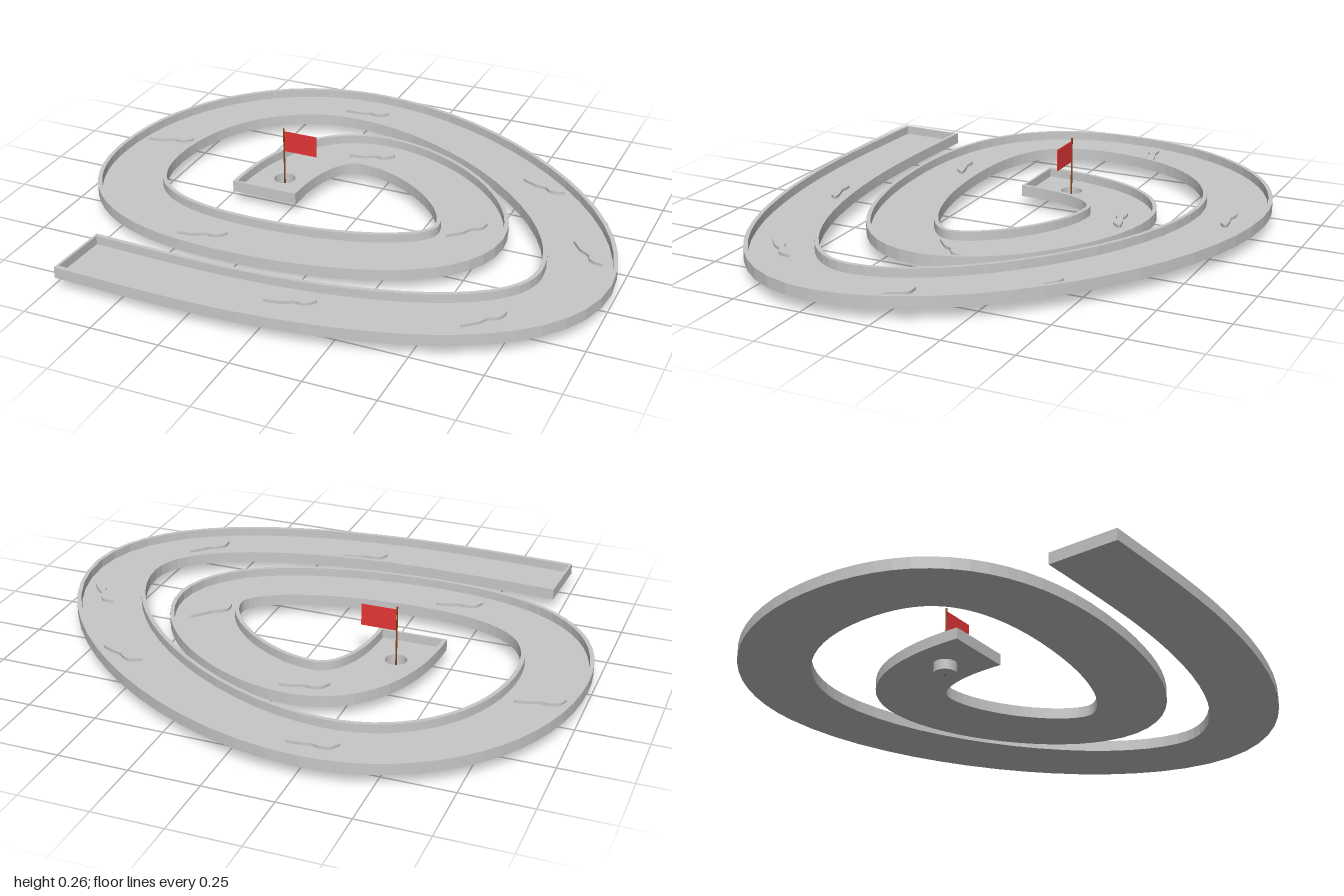
import * as THREE from 'three';

const HALF = 0.1255, RIM = 0.015, END = 0.009;
const BOTTOM = 0.044, FLOOR = 0.053, TOP = 0.085;
const CUP = { x: -0.329, z: -0.092, r: 0.041 };

// Spiral centre line, in x and z: start point, then two handles and an end per bend
const START = [-0.725, 0.715];
const BENDS = [
  [-0.57, 0.722, -0.4, 0.729, -0.27, 0.729],
  [0.3, 0.729, 0.874, 0.58, 0.874, 0.215],
  [0.874, -0.21, 0.24, -0.729, -0.265, -0.729],
  [-0.61, -0.729, -0.874, -0.44, -0.874, -0.06],
  [-0.874, 0.22, -0.71, 0.396, -0.29, 0.396],
  [0.09, 0.396, 0.452, 0.28, 0.452, 0.07],
  [0.452, -0.13, 0.155, -0.377, -0.08, -0.377],
  [-0.25, -0.377, -0.341, -0.2, -0.341, 0.058],
];

function centreLine() {
  const samples = [];
  let from = new THREE.Vector2(START[0], -START[1]);
  BENDS.forEach(([ax, az, bx, bz, cx, cz], i) => {
    const to = new THREE.Vector2(cx, -cz);
    const curve = new THREE.CubicBezierCurve(from, new THREE.Vector2(ax, -az), new THREE.Vector2(bx, -bz), to);
    const n = i === 0 ? 4 : 16;
    for (let k = i === 0 ? 0 : 1; k <= n; k++) {
      samples.push({ p: curve.getPoint(k / n), t: curve.getTangent(k / n) });
    }
    from = to;
  });
  return samples;
}

// Closed counter-clockwise outline of the lane at a given half width, pulled in at both ends
function laneOutline(samples, half, inset) {
  const left = [], right = [], last = samples.length - 1;
  samples.forEach(({ p, t }, i) => {
    const shift = i === 0 ? inset : i === last ? -inset : 0;
    const c = p.clone().addScaledVector(t, shift);
    const n = new THREE.Vector2(-t.y, t.x);
    left.unshift(c.clone().addScaledVector(n, half));
    right.push(c.clone().addScaledVector(n, -half));
  });
  return [...right, ...left];
}

// Extrude a ground-plan shape upwards
function slab(shape, height) {
  return new THREE.ExtrudeGeometry(shape, { depth: height, bevelEnabled: false, curveSegments: 24 })
    .rotateX(-Math.PI / 2);
}

export function createModel() {
  const group = new THREE.Group();
  const material = (name, color) => {
    const m = new THREE.MeshStandardMaterial({ color });
    m.name = name;
    return m;
  };
  const grey = material('concrete grey', 0xc8c8c8);
  grey.side = THREE.DoubleSide;
  const brown = material('pole brown', 0x8b4513);
  const red = material('flag red', 0xe53535);
  red.side = THREE.DoubleSide;

  const add = (name, geometry, mat, x = 0, y = 0, z = 0) => {
    const mesh = new THREE.Mesh(geometry, mat);
    mesh.name = name;
    mesh.position.set(x, y, z);
    group.add(mesh);
    return mesh;
  };

  // Lane floor with the hole cut out
  const samples = centreLine();
  const outline = laneOutline(samples, HALF, 0);
  const floor = new THREE.Shape(outline);
  floor.holes.push(new THREE.Path().absarc(CUP.x, -CUP.z, CUP.r, 0, Math.PI * 2, true));
  add('laneFloor', slab(floor, FLOOR - BOTTOM), grey, 0, BOTTOM);

  // Rim wall running all the way round
  const rim = new THREE.Shape(outline);
  rim.holes.push(new THREE.Path(laneOutline(samples, HALF - RIM, END).reverse()));
  add('rimWall', slab(rim, TOP - FLOOR), grey, 0, FLOOR);

  // Cup hanging below the hole, each straight run its own lathe so the edges stay sharp
  const cupProfile = [[0, 0.007], [CUP.r, 0.007], [CUP.r, FLOOR - 0.001], [CUP.r - 0.002, FLOOR - 0.001],
    [CUP.r - 0.002, 0.012], [0, 0.012]];
  for (let i = 0; i < cupProfile.length - 1; i++) {
    const run = cupProfile.slice(i, i + 2).map(([r, y]) => new THREE.Vector2(r, y));
    add('cup', new THREE.LatheGeometry(run, 32), grey, CUP.x, 0, CUP.z);
  }

  // Flag pole and flag
  add('flagPole', new THREE.CylinderGeometry(0.003, 0.003, 0.257, 12), brown, CUP.x, 0.1285, CUP.z);
  add('flag', new THREE.BoxGeometry(0.126, 0.08, 0.003), red, CUP.x + 0.067, 0.206, CUP.z);

  // Wavy bumps on the floor: x, z, turn in degrees
  const wave = new THREE.Shape();
  wave.moveTo(-0.086, -0.02);
  wave.splineThru([[-0.062, 0.013], [-0.03, 0.018], [0, 0.012], [0.03, 0.018], [0.084, 0.02],
    [0.065, -0.004], [0.04, -0.012], [0.015, -0.006], [-0.02, -0.018], [-0.05, -0.02], [-0.086, -0.02]]
    .map(([x, y]) => new THREE.Vector2(x, y)));
  const bump = slab(wave, 0.011);
  const bumps = [
    [-0.265, -0.725, 0], [-0.87, -0.205, 9], [-0.1, -0.38, 9],
    [0.575, -0.4, -27], [0.425, 0.015, 41], [0.86, 0.005, -53],
    [-0.41, 0.4, 9], [0.67, 0.535, 39], [0.06, 0.68, 9],
  ];
  for (const [x, z, turn] of bumps) {
    add('waveBump', bump, grey, x, FLOOR, z).rotation.y = THREE.MathUtils.degToRad(turn);
  }

  return group;
}
